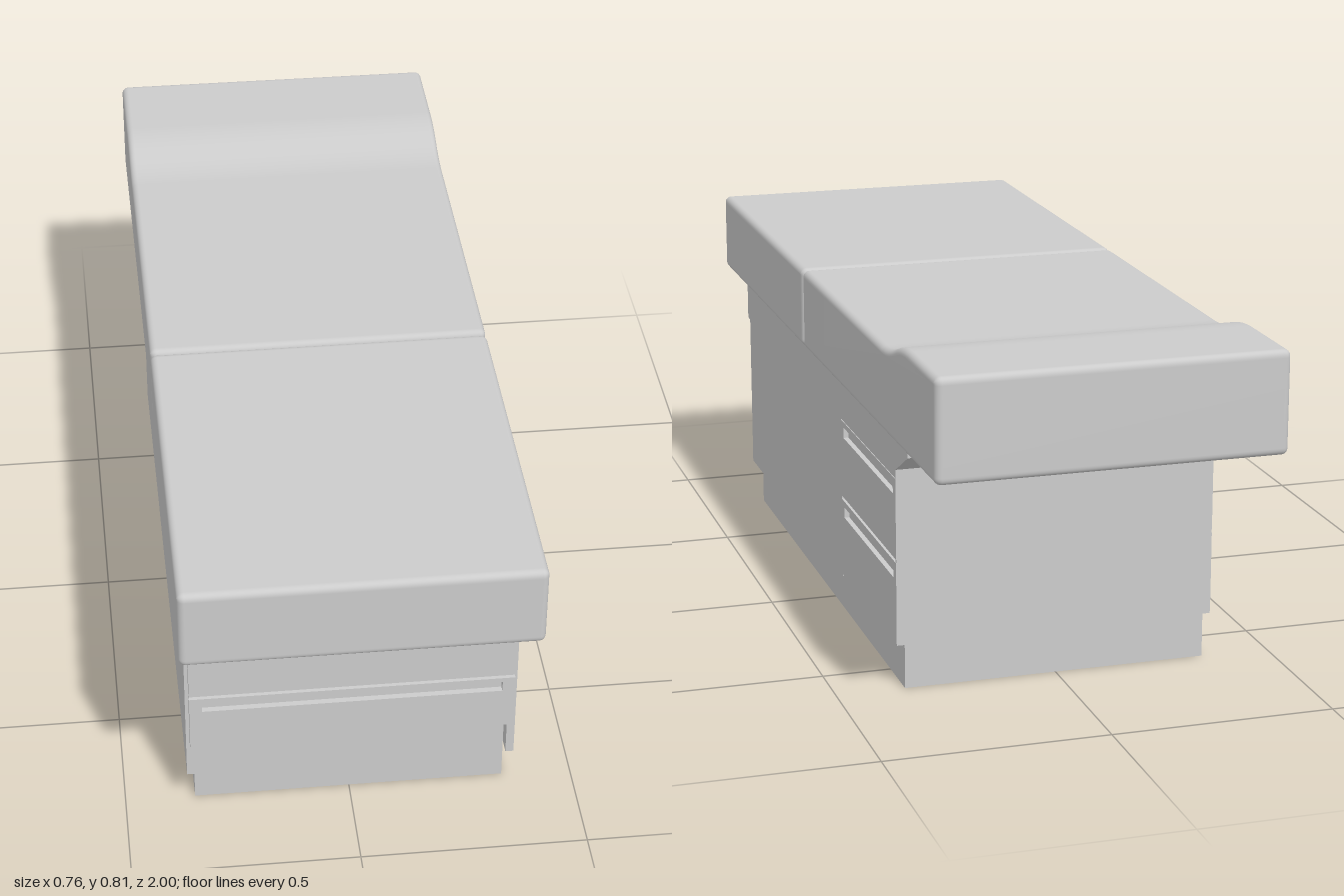
import * as THREE from 'three';
import { mergeVertices } from 'three/addons/utils/BufferGeometryUtils.js';

const material = new THREE.MeshStandardMaterial({ color: 0xcccccc, side: THREE.DoubleSide });

function part(parent, name, geometry) {
  const mesh = new THREE.Mesh(geometry, material);
  mesh.name = name;
  parent.add(mesh);
  return mesh;
}

// Box given by its limits on each axis
function box(parent, name, x0, x1, y0, y1, z0, z1) {
  const geometry = new THREE.BoxGeometry(x1 - x0, y1 - y0, z1 - z0);
  geometry.translate((x0 + x1) / 2, (y0 + y1) / 2, (z0 + z1) / 2);
  return part(parent, name, geometry);
}

// Side profile of [z, y] points swept along x from x0 to x1
function sweep(points, x0, x1) {
  const shape = new THREE.Shape(points.map(([z, y]) => new THREE.Vector2(-z, y)));
  const geometry = new THREE.ExtrudeGeometry(shape, { depth: x1 - x0, bevelEnabled: false });
  return geometry.translate(0, 0, x0).rotateY(Math.PI / 2);
}

// Upholstered pad: profile of [z, y, corner radius] with softly rounded edges all round
function cushion(parent, name, corners, halfWidth) {
  const p = corners.map(([z, y, r]) => ({ v: new THREE.Vector2(-z, y), r }));
  const shape = new THREE.Shape();
  p.forEach(({ v, r }, i) => {
    const toward = (q) => q.clone().sub(v).setLength(r).add(v);
    const a = toward(p[(i + p.length - 1) % p.length].v);
    const b = toward(p[(i + 1) % p.length].v);
    if (i) shape.lineTo(a.x, a.y);
    else shape.moveTo(a.x, a.y);
    shape.quadraticCurveTo(v.x, v.y, b.x, b.y);
  });
  shape.closePath();
  const r = 0.015;
  let geometry = new THREE.ExtrudeGeometry(shape, {
    depth: 2 * (halfWidth - r), curveSegments: 8,
    bevelSize: r, bevelThickness: r, bevelOffset: -r, bevelSegments: 6,
  });
  geometry.translate(0, 0, r - halfWidth).rotateY(Math.PI / 2);
  geometry.deleteAttribute('uv');
  geometry.deleteAttribute('normal');
  geometry = mergeVertices(geometry, 1e-5);
  geometry.computeVertexNormals();
  return part(parent, name, geometry);
}

// Drawer front facing +z, with a recessed finger slot and a chamfered lower edge
function drawer(name, y0, y1, width, slotWidth, slotTop, t) {
  const group = new THREE.Group();
  group.name = name;
  const w = width / 2, s = slotWidth / 2, d = t * 0.35;
  const back = [[0, y1], [0, y0]];
  const lower = [[t - 0.008, y0], [t, y0 + 0.005]];
  const upper = [[t, y1]];
  const slot = [[t, slotTop - 0.025], [d, slotTop - 0.025], [d, slotTop - 0.007], [t, slotTop]];
  const solid = [...back, ...lower, ...upper];
  part(group, 'drawerEnd', sweep(solid, -w, -s));
  part(group, 'drawerEnd', sweep(solid, s, w));
  part(group, 'drawerSlot', sweep([...back, ...lower, ...slot, ...upper], -s, s));
  return group;
}

export function createModel() {
  const model = new THREE.Group();
  model.name = 'examinationCouch';
  const outer = 0.363, inner = 0.345;

  // Foot and head cushions
  const r = 0.017;
  cushion(model, 'footCushion',
    [[1, 0.578, r], [0.138, 0.578, r], [0.138, 0.766, r], [1, 0.766, r]], 0.382);
  cushion(model, 'headCushion', [
    [0.134, 0.578, r], [-1, 0.578, r], [-1, 0.805, r],
    [-0.74, 0.805, 0.05], [-0.63, 0.766, 0.05], [0.134, 0.766, r],
  ], 0.382);

  // Top of the cabinet, with the header above the front drawers
  box(model, 'cabinetTop', -outer, outer, 0.555, 0.58, -0.62, 0.805);
  box(model, 'frontHeader', -outer, outer, 0.48, 0.58, 0.805, 0.828);
  part(model, 'headSupport',
    sweep([[-0.61, 0.5], [-0.62, 0.5], [-0.72, 0.555], [-0.72, 0.58], [-0.61, 0.58]], -outer, outer));

  // Back and recessed front walls, open underneath
  box(model, 'backPanel', -outer + 0.001, outer - 0.001, 0.1, 0.52, -0.62, -0.61);
  box(model, 'backPlinth', -inner, inner, 0, 0.1, -0.62, -0.61);
  box(model, 'frontPlinth', -inner, inner, 0, 0.48, 0.76, 0.77);
  box(model, 'frontDrawerCase', -inner, inner, 0.196, 0.555, 0.77, 0.806);

  // Side walls, side plinths and side drawers
  for (const side of [-1, 1]) {
    const prefix = side > 0 ? 'left' : 'right';
    const a = Math.min(side * inner, side * outer), b = Math.max(side * inner, side * outer);
    const plinthX = side * (inner - 0.005);
    box(model, prefix + 'Plinth', plinthX - 0.005, plinthX + 0.005, 0, 0.11, -0.62, 0.77);
    part(model, prefix + 'Panel', sweep([
      [-0.145, 0.1], [0.806, 0.1], [0.806, 0.58], [-0.62, 0.58], [-0.62, 0.481], [-0.145, 0.481],
    ], a, b));
    [[0.1, 0.289, 0.275], [0.292, 0.479, 0.466]].forEach(([y0, y1, slotTop], i) => {
      const front = drawer(prefix + 'SideDrawer' + (i + 1), y0, y1, 0.475, 0.43, slotTop, outer - inner);
      front.rotation.y = side * Math.PI / 2;
      front.position.set(side * inner, 0, -0.3825);
      model.add(front);
    });
  }

  // Front drawers
  [[0.194, 0.335, 0.324], [0.338, 0.479, 0.466]].forEach(([y0, y1, slotTop], i) => {
    const front = drawer('frontDrawer' + (i + 1), y0, y1, 0.71, 0.655, slotTop, 0.021);
    front.position.z = 0.806;
    model.add(front);
  });

  return model;
}
